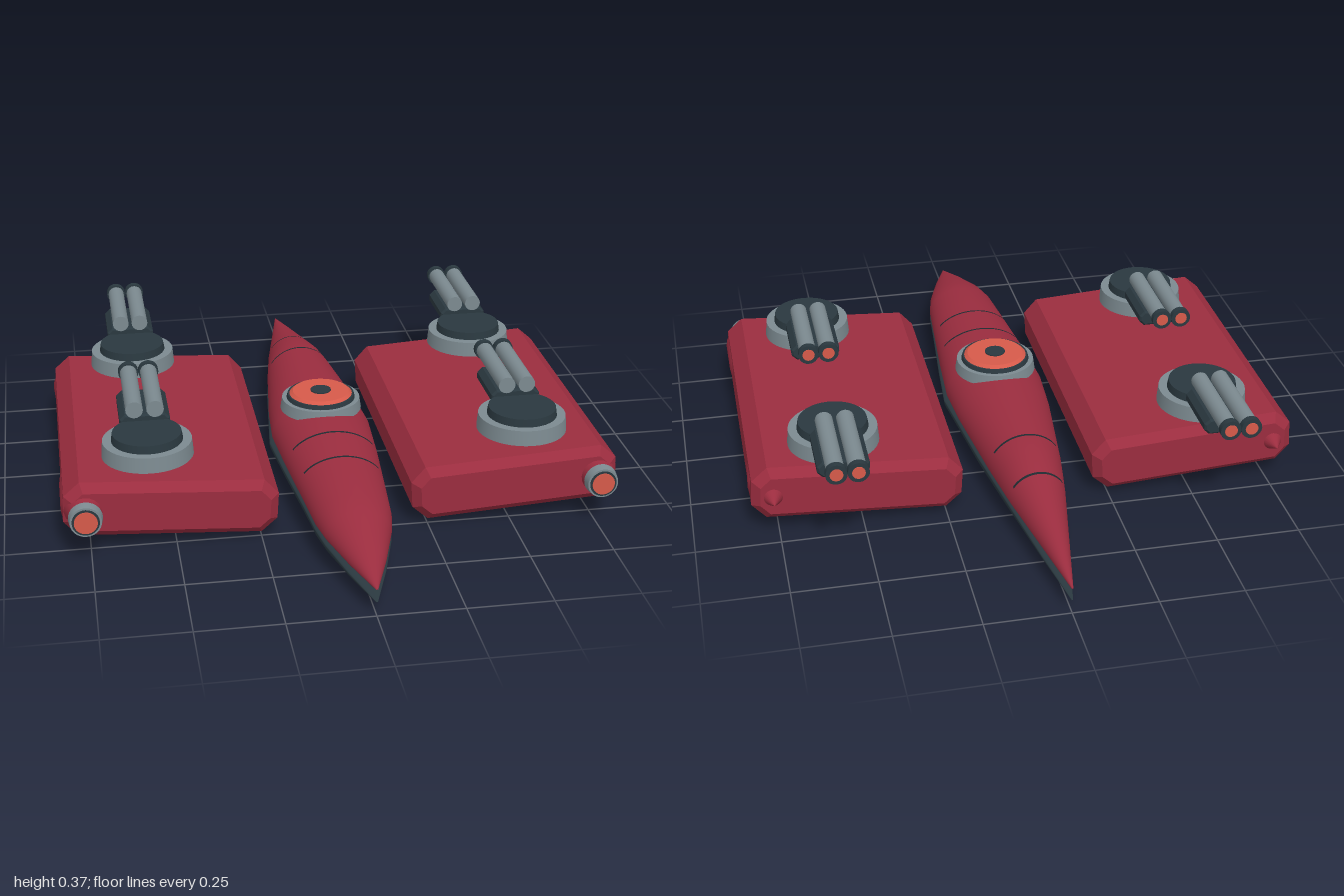
import * as THREE from 'three';

const mat = (name, color) => new THREE.MeshStandardMaterial({ name, color });

export function createModel() {
  const red = mat('crimson', 0x9b2d3f);
  const dark = mat('dark slate', 0x2a383f);
  const grey = mat('steel grey', 0x7c8a90);
  const orange = mat('coral orange', 0xd65a4a);
  const stripeMat = mat('stripe slate', 0x1f2a30);
  stripeMat.side = THREE.DoubleSide;

  const model = new THREE.Group();
  model.name = 'ship';

  const add = (parent, name, geometry, material, x = 0, y = 0, z = 0) => {
    const mesh = new THREE.Mesh(geometry, material);
    mesh.name = name;
    mesh.position.set(x, y, z);
    parent.add(mesh);
    return mesh;
  };
  const disc = (rTop, rBottom, h, n = 40) => new THREE.CylinderGeometry(rTop, rBottom, h, n);
  const rod = (r, length, n = 20) => new THREE.CylinderGeometry(r, r, length, n).rotateX(Math.PI / 2);

  // Hull sections: z, half width, centre y, height above centre, depth below centre
  const upper = [
    [-1, 0.002, 0.088, 0.002, 0.002], [-0.8, 0.04, 0.096, 0.042, 0.016], [-0.57, 0.084, 0.105, 0.085, 0.03],
    [-0.48, 0.098, 0.109, 0.103, 0.035], [-0.4, 0.11, 0.111, 0.107, 0.038], [-0.1, 0.146, 0.115, 0.111, 0.04],
    [0.06, 0.157, 0.115, 0.112, 0.04], [0.25, 0.145, 0.115, 0.108, 0.04], [0.5, 0.124, 0.113, 0.092, 0.038],
    [0.64, 0.112, 0.11, 0.085, 0.036], [0.72, 0.096, 0.106, 0.075, 0.032], [0.86, 0.053, 0.097, 0.041, 0.018],
    [1, 0.002, 0.088, 0.002, 0.002],
  ];
  const lower = [
    [-1, 0.002, 0.05, 0.002, 0.002], [-0.8, 0.04, 0.06, 0.012, 0.022], [-0.5, 0.094, 0.082, 0.02, 0.062],
    [-0.3, 0.125, 0.088, 0.02, 0.074], [0.06, 0.166, 0.09, 0.02, 0.083], [0.25, 0.15, 0.09, 0.02, 0.08],
    [0.5, 0.125, 0.088, 0.02, 0.071], [0.64, 0.112, 0.084, 0.02, 0.062], [0.72, 0.096, 0.078, 0.018, 0.052],
    [0.86, 0.053, 0.063, 0.012, 0.027], [1, 0.002, 0.05, 0.002, 0.002],
  ];

  // Skin through elliptical sections, over a closed ring or an open arc
  const loft = (rows, from = 0, to = Math.PI * 2, n = 48) => {
    const closed = to - from > 6.28;
    const cols = closed ? n : n + 1;
    const pos = [], idx = [];
    rows.forEach(([z, w, yc, up, down], i) => {
      for (let j = 0; j < cols; j++) {
        const a = from + (to - from) * j / n, s = Math.sin(a);
        pos.push(Math.cos(a) * w, yc + s * (s > 0 ? up : down), z);
      }
      if (i === rows.length - 1) return;
      for (let j = 0; j < n; j++) {
        const k = (j + 1) % cols, p = i * cols, q = p + cols;
        idx.push(p + j, p + k, q + j, p + k, q + k, q + j);
      }
    });
    const g = new THREE.BufferGeometry();
    g.setAttribute('position', new THREE.Float32BufferAttribute(pos, 3));
    g.setIndex(idx);
    g.computeVertexNormals();
    return g;
  };
  const sectionAt = (z) => {
    const i = upper.findIndex((r) => r[0] >= z), a = upper[i - 1], b = upper[i];
    const t = (z - a[0]) / (b[0] - a[0]);
    return a.map((v, k) => v + (b[k] - v) * t);
  };

  add(model, 'upperHull', loft(upper), red);
  add(model, 'lowerHull', loft(lower), dark);

  // Thin bands across the back of the hull
  for (const z of [-0.57, -0.4, 0.28, 0.43]) {
    const rows = [z - 0.004, z + 0.004].map((v) => {
      const [zz, w, yc, up, down] = sectionAt(v);
      return [zz, w + 0.002, yc, up + 0.002, down];
    });
    add(model, 'hullStripe', loft(rows, 0.55, Math.PI - 0.55, 24), stripeMat);
  }

  // Hatch on top of the hull
  const hatch = new THREE.Group();
  hatch.name = 'hatch';
  hatch.position.z = 0.05;
  model.add(hatch);
  add(hatch, 'hatchRing', disc(0.122, 0.127, 0.035), grey, 0, 0.222);
  add(hatch, 'hatchCollar', disc(0.104, 0.108, 0.014), dark, 0, 0.245);
  add(hatch, 'hatchLid', disc(0.088, 0.099, 0.009), orange, 0, 0.256);
  add(hatch, 'hatchHub', disc(0.032, 0.032, 0.006, 24), dark, 0, 0.261);

  // Rectangle with cut corners
  const cutRect = (w, h, c) => {
    const x = w / 2, y = h / 2;
    return new THREE.Shape([
      [-x + c, -y], [x - c, -y], [x, -y + c], [x, y - c],
      [x - c, y], [-x + c, y], [-x, y - c], [-x, -y + c],
    ].map(([a, b]) => new THREE.Vector2(a, b)));
  };
  const bevelBlock = (w, h, d, cut, bevel) => new THREE.ExtrudeGeometry(
    cutRect(w - 2 * bevel, h - 2 * bevel, cut),
    { depth: d - 2 * bevel, bevelThickness: bevel, bevelSize: bevel, bevelSegments: 1 },
  ).translate(0, 0, -d / 2 + bevel);

  const podGeo = bevelBlock(0.625, 0.17, 0.99, 0.03, 0.025);
  const mountGeo = bevelBlock(0.15, 0.05, 0.19, 0.012, 0.006);
  const thrusterGeo = new THREE.LatheGeometry([
    [0, -0.505], [0.04, -0.44], [0.069, -0.39], [0.06, -0.2], [0.06, 0.25],
    [0.069, 0.33], [0.069, 0.49], [0.05, 0.53], [0.048, 0.565],
  ].map(([r, y]) => new THREE.Vector2(r, y)), 20).rotateX(Math.PI / 2);

  // Twin-barrelled turret with its muzzles to the rear
  const addTurret = (x, z) => {
    const t = new THREE.Group();
    t.name = 'turret';
    t.position.set(x, 0, z);
    model.add(t);
    add(t, 'turretBase', disc(0.132, 0.136, 0.047), grey, 0, 0.2575);
    add(t, 'turretDisc', disc(0.102, 0.106, 0.025), dark, 0, 0.2925);
    add(t, 'gunMount', mountGeo, dark, 0, 0.3, -0.17);
    for (const s of [-1, 1]) {
      add(t, 'barrel', rod(0.026, 0.28), grey, s * 0.031, 0.345, -0.205);
      add(t, 'muzzle', rod(0.031, 0.02), dark, s * 0.031, 0.345, -0.355);
      add(t, 'muzzleBore', rod(0.019, 0.006), orange, s * 0.031, 0.345, -0.364);
    }
  };

  // Side pods, each with a thruster and two turrets
  for (const s of [1, -1]) {
    add(model, s > 0 ? 'leftPod' : 'rightPod', podGeo, red, s * 0.512, 0.125, 0.035).rotation.z = s * 0.062;
    add(model, 'thruster', thrusterGeo, red, s * 0.762, 0.138, 0);
    add(model, 'thrusterRing', new THREE.CylinderGeometry(0.046, 0.05, 0.028, 28).rotateX(Math.PI / 2), grey, s * 0.762, 0.138, 0.57);
    add(model, 'thrusterRim', rod(0.04, 0.006, 28), dark, s * 0.762, 0.138, 0.584);
    add(model, 'thrusterLens', rod(0.034, 0.006, 28), orange, s * 0.762, 0.138, 0.587);
    for (const z of [0.36, -0.332]) addTurret(s * 0.567, z);
  }
  return model;
}
